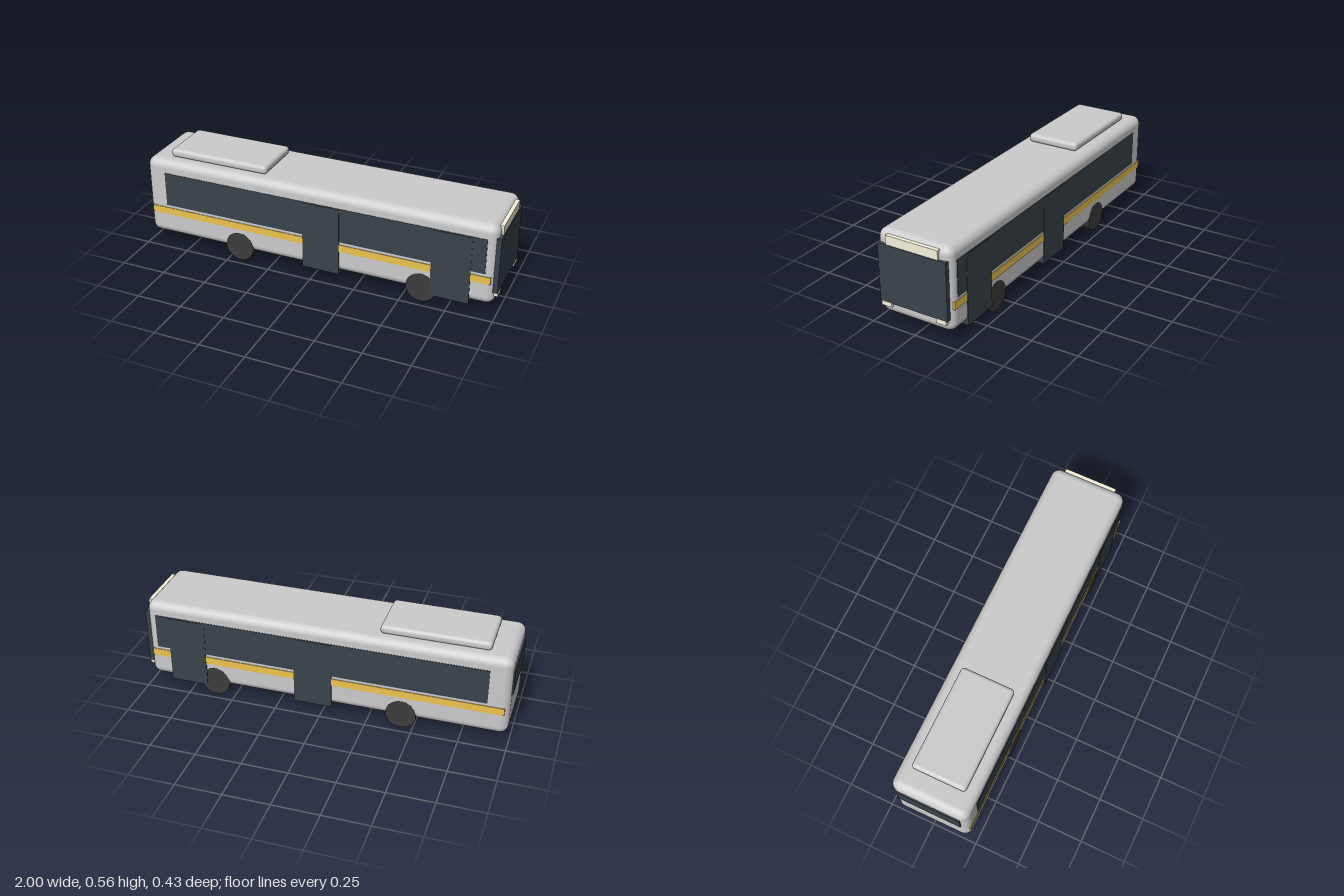
import * as THREE from 'three';
import { RoundedBoxGeometry } from 'three/addons/geometries/RoundedBoxGeometry.js';

const material = (color) => new THREE.MeshStandardMaterial({ color });

export function createModel() {
  const bus = new THREE.Group();
  bus.name = 'bus';
  const grey = material(0xcccccc);
  const glass = material(0x3a444c);
  const yellow = material(0xedc34f);
  const cream = material(0xf6f2dc);
  const rubber = material(0x3c3c3c);

  const add = (name, geometry, mat, x, y, z) => {
    const mesh = new THREE.Mesh(geometry, mat);
    mesh.name = name;
    mesh.position.set(x, y, z);
    bus.add(mesh);
    return mesh;
  };

  // Block given by its limits along each axis; a radius rounds its edges
  const block = (name, mat, [x0, x1], [y0, y1], [z0, z1], radius = 0) => {
    const size = [x1 - x0, y1 - y0, z1 - z0];
    const geometry = radius
      ? new RoundedBoxGeometry(...size, 4, radius)
      : new THREE.BoxGeometry(...size);
    return add(name, geometry, mat, (x0 + x1) / 2, (y0 + y1) / 2, (z0 + z1) / 2);
  };

  // Body shell and roof unit
  block('body', grey, [-0.993, 0.985], [0.062, 0.513], [-0.212, 0.212], 0.045);
  block('roofUnit', grey, [-0.87, -0.295], [0.511, 0.559], [-0.149, 0.149], 0.02);

  // Window band, stripe and doors run through the body and stand slightly proud
  block('sideWindows', glass, [-0.88, 0.935], [0.245, 0.44], [-0.2145, 0.2145]);
  block('sideStripe', yellow, [-0.97, 0.965], [0.188, 0.229], [-0.2155, 0.2155]);
  for (const x of [0.047, 0.757]) {
    block('door', glass, [x - 0.104, x + 0.104], [0.051, 0.434], [-0.2165, 0.2165]);
  }

  // Driving end
  block('windshield', glass, [0.975, 1], [0.135, 0.447], [-0.195, 0.195]);
  block('destinationSign', cream, [0.975, 0.996], [0.447, 0.497], [-0.149, 0.149]);
  for (const side of [-1, 1]) {
    const z = side * 0.159;
    block('headlight', cream, [0.975, 1.001], [0.113, 0.137], [z - 0.029, z + 0.029]);
  }

  // Rear end
  block('rearWindow', glass, [-1, -0.98], [0.295, 0.44], [-0.175, 0.175]);

  // Wheels
  const wheel = new THREE.CylinderGeometry(0.082, 0.082, 0.0585, 28).rotateX(Math.PI / 2);
  for (const x of [-0.435, 0.605]) {
    for (const side of [-1, 1]) add('wheel', wheel, rubber, x, 0.082, side * 0.1833);
  }

  return bus;
}
